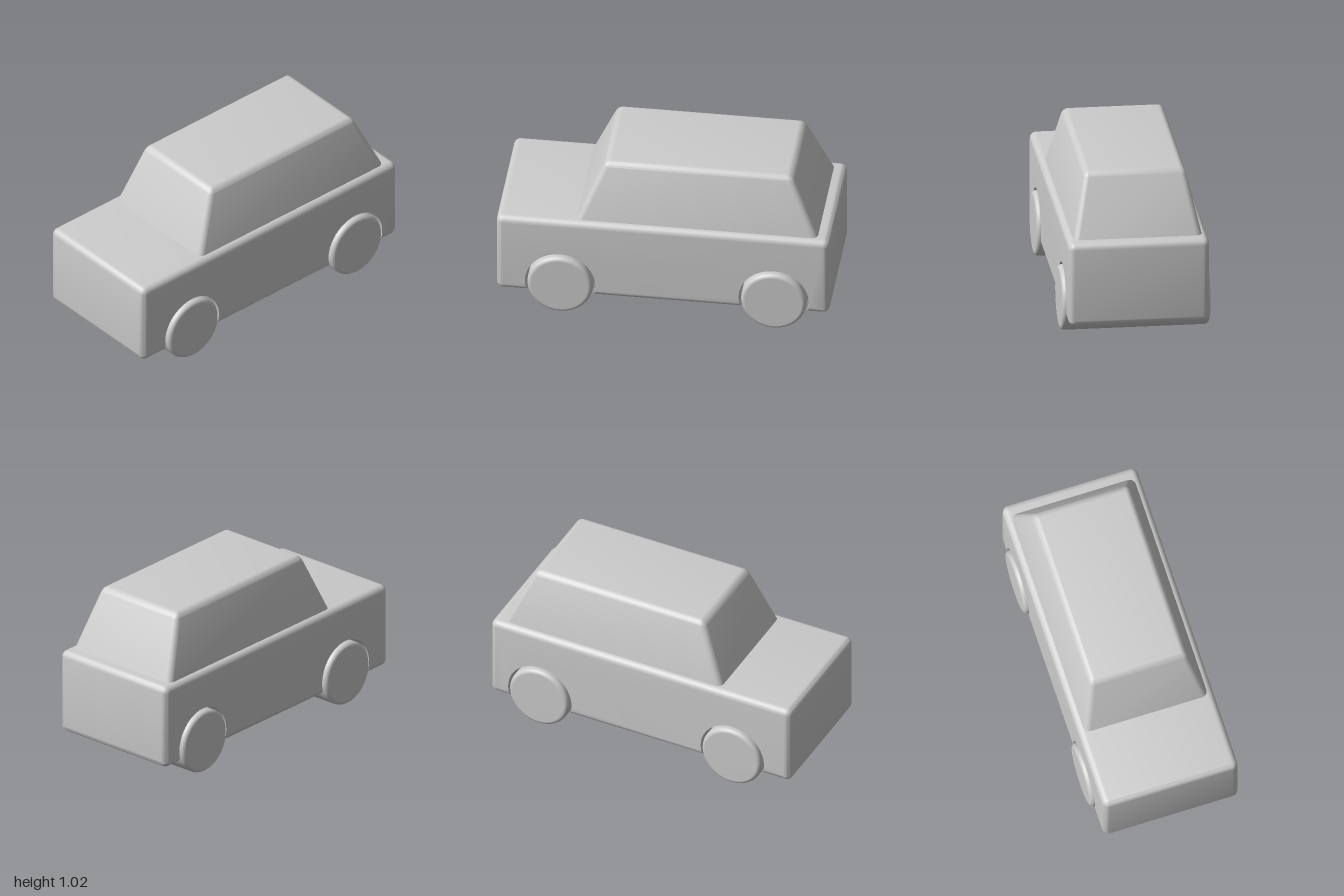
import * as THREE from 'three';
import { toCreasedNormals, mergeVertices } from 'three/addons/utils/BufferGeometryUtils.js';
import { RoundedBoxGeometry } from 'three/addons/geometries/RoundedBoxGeometry.js';

const EDGE = 0.04; // edge rounding of body and cabin
const BODY = { halfWidth: 0.422, bottom: 0.12, top: 0.645, halfLength: 1 };
const AXLE_Y = 0.196, WHEEL_R = 0.196, ARCH_R = 0.211;
const AXLES = { frontWheels: 0.615, rearWheels: -0.668 };

// Points on an arc in the (z, y) plane
function arc(cz, cy, r, from, to, steps) {
  const pts = [];
  for (let i = 0; i <= steps; i++) {
    const a = from + (to - from) * i / steps;
    pts.push(new THREE.Vector2(cz + r * Math.cos(a), cy + r * Math.sin(a)));
  }
  return pts;
}

// Side outline of the body; corner radius r shrinks it, the arches stay fixed
function bodyOutline(r) {
  const z = BODY.halfLength - EDGE, lo = BODY.bottom + EDGE, hi = BODY.top - EDGE;
  const s = Math.asin((lo - r - AXLE_Y) / ARCH_R);
  const P = Math.PI;
  return [
    ...arc(-z, lo, r, P, 1.5 * P, 6),
    ...arc(AXLES.rearWheels, AXLE_Y, ARCH_R, P - s, s, 32),
    ...arc(AXLES.frontWheels, AXLE_Y, ARCH_R, P - s, s, 32),
    ...arc(z, lo, r, 1.5 * P, 2 * P, 6),
    ...arc(z, hi, r, 0, 0.5 * P, 6),
    ...arc(-z, hi, r, 0.5 * P, P, 6),
  ];
}

// Loft the outline across the width, rounding both flanks
function bodyGeometry() {
  const slices = [];
  const steps = 6;
  for (let k = 0; k <= steps; k++) {
    const a = (k / steps) * Math.PI / 2;
    slices.push({
      x: BODY.halfWidth - EDGE + EDGE * Math.cos(a),
      outline: bodyOutline(Math.max(EDGE * Math.sin(a), 0.001)),
    });
  }
  const rings = [
    ...slices.map(s => ({ x: -s.x, outline: s.outline })),
    ...slices.slice().reverse(),
  ];
  const n = rings[0].outline.length;
  const position = [], index = [];
  for (const { x, outline } of rings) for (const p of outline) position.push(x, p.y, p.x);
  for (let i = 0; i < rings.length - 1; i++) {
    for (let j = 0; j < n; j++) {
      const a = i * n + j, d = i * n + (j + 1) % n;
      index.push(a, a + n, d + n, a, d + n, d);
    }
  }
  const last = (rings.length - 1) * n;
  for (const [a, b, c] of THREE.ShapeUtils.triangulateShape(rings[0].outline, [])) {
    index.push(a, b, c, last + a, last + c, last + b);
  }
  const geo = new THREE.BufferGeometry();
  geo.setAttribute('position', new THREE.Float32BufferAttribute(position, 3));
  geo.setIndex(index);
  return toCreasedNormals(geo, 0.6);
}

// Rounded box tapered towards the roof; its foot sinks into the body
function cabinGeometry() {
  const foot = 0.58, roof = 1.02;
  let geo = new RoundedBoxGeometry(2, roof - foot, 2, 6, EDGE);
  geo = new RoundedBoxGeometry(0.77, roof - foot, 1.445, 6, EDGE);
  const p = geo.attributes.position;
  for (let i = 0; i < p.count; i++) {
    const y = p.getY(i) + (foot + roof) / 2;
    const t = (y - BODY.top) / (roof - BODY.top);
    const front = 0.52 - 0.16 * t, back = -0.925 + 0.165 * t;
    const u = p.getZ(i) / 1.445 + 0.5;
    p.setXYZ(i, p.getX(i) * (0.385 - 0.085 * t) / 0.385, y, back + (front - back) * u);
  }
  geo.deleteAttribute('normal');
  geo.deleteAttribute('uv');
  return toCreasedNormals(mergeVertices(geo), 0.6);
}

// Full-width roller with rounded rims, lying along x
function wheelGeometry() {
  const half = 0.445, r = 0.026;
  const side = arc(WHEEL_R - r, half - r, r, 0, Math.PI / 2, 6);
  const profile = [
    new THREE.Vector2(0, -half),
    ...side.map(p => new THREE.Vector2(p.x, -p.y)).reverse(),
    ...side,
    new THREE.Vector2(0, half),
  ];
  return new THREE.LatheGeometry(profile, 64).rotateZ(Math.PI / 2);
}

export function createModel() {
  const model = new THREE.Group();
  model.name = 'car';
  const material = new THREE.MeshStandardMaterial({ color: 0xcccccc });
  const add = (name, geometry) => {
    const mesh = new THREE.Mesh(geometry, material);
    mesh.name = name;
    model.add(mesh);
    return mesh;
  };

  add('body', bodyGeometry());
  add('cabin', cabinGeometry());
  const wheel = wheelGeometry();
  for (const [name, z] of Object.entries(AXLES)) add(name, wheel).position.set(0, AXLE_Y, z);
  return model;
}
